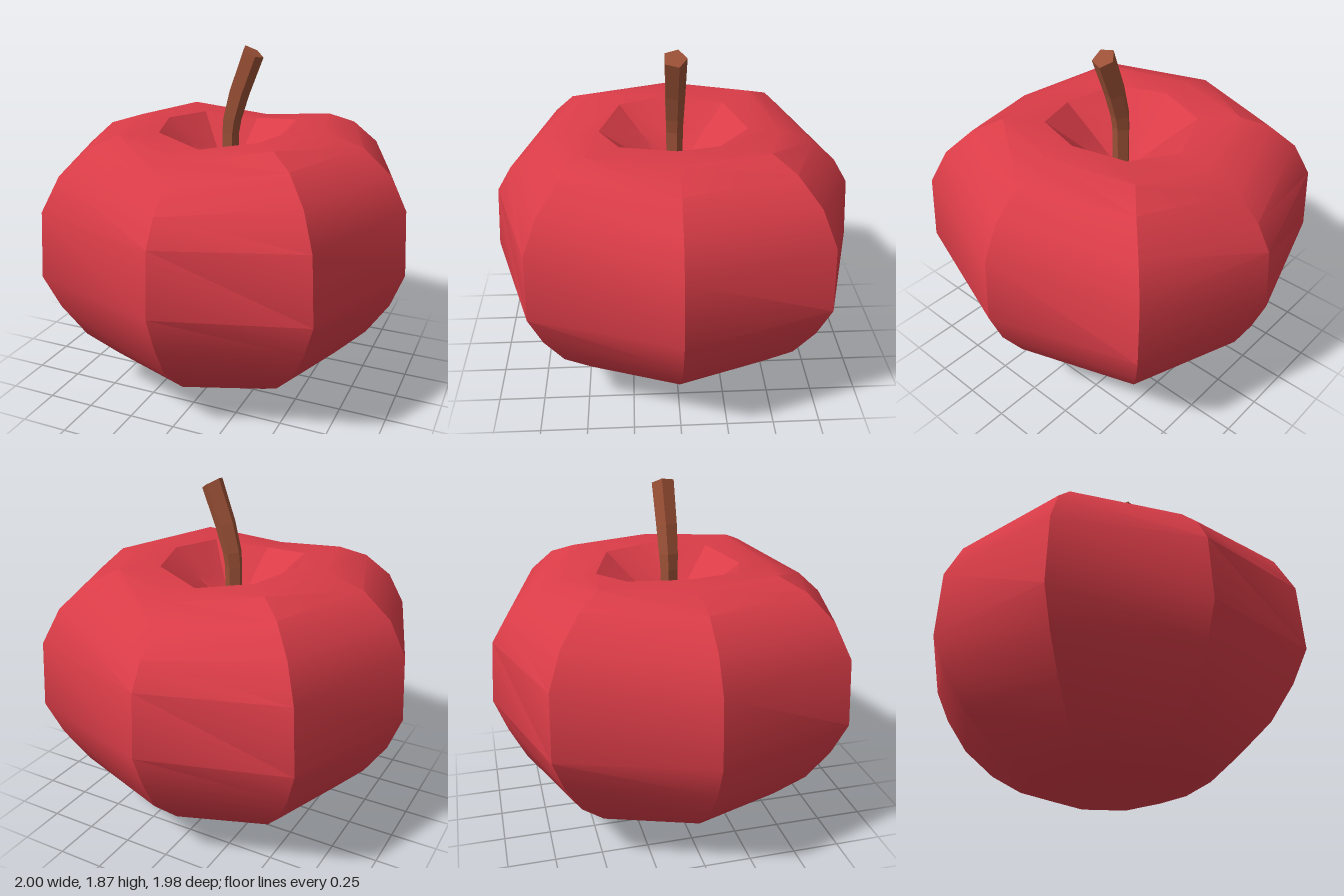
import * as THREE from 'three';
import { toCreasedNormals } from 'three/addons/utils/BufferGeometryUtils.js';

// Skins closed rings of points; a ring collapsed to one point closes an end.
function loft(rings) {
  const pos = [];
  const tri = (a, b, c) => {
    if (a.distanceTo(b) > 1e-6 && b.distanceTo(c) > 1e-6 && c.distanceTo(a) > 1e-6) {
      for (const p of [a, b, c]) pos.push(p.x, p.y, p.z);
    }
  };
  for (let i = 0; i < rings.length - 1; i++) {
    const n = rings[i].length;
    for (let j = 0; j < n; j++) {
      const k = (j + 1) % n;
      tri(rings[i][j], rings[i + 1][j], rings[i + 1][k]);
      tri(rings[i][j], rings[i + 1][k], rings[i][k]);
    }
  }
  const geo = new THREE.BufferGeometry();
  geo.setAttribute('position', new THREE.Float32BufferAttribute(pos, 3));
  geo.computeVertexNormals();
  return geo;
}

// Fruit: eight ribs; each row is [side r, side y, diagonal x, diagonal z, diagonal y, front r, front y]
function makeFruit() {
  const rows = [
    [0, 0.0, 0, 0, 0.0, 0, 0.0],
    [0.3, 0.03, 0.22, 0.23, 0.03, 0.32, 0.03],
    [0.47, 0.09, 0.35, 0.36, 0.09, 0.47, 0.09],
    [0.64, 0.19, 0.47, 0.48, 0.19, 0.63, 0.17],
    [0.81, 0.36, 0.59, 0.61, 0.35, 0.83, 0.36],
    [0.93, 0.54, 0.68, 0.7, 0.54, 0.92, 0.54],
    [1.0, 0.725, 0.74, 0.76, 0.725, 0.99, 0.725],
    [0.98, 1.08, 0.72, 0.75, 1.08, 0.965, 1.065],
    [0.89, 1.26, 0.65, 0.68, 1.26, 0.885, 1.2],
    [0.74, 1.39, 0.54, 0.57, 1.39, 0.76, 1.315],
    [0.54, 1.455, 0.42, 0.46, 1.45, 0.58, 1.385],
    [0.37, 1.45, 0.28, 0.29, 1.437, 0.4, 1.4],
    [0.23, 1.31, 0.17, 0.17, 1.305, 0.24, 1.29],
    [0.1, 1.19, 0.07, 0.07, 1.19, 0.1, 1.19],
    [0, 1.16, 0, 0, 1.16, 0, 1.16],
  ];
  const rings = rows.map(([sr, sy, dx, dz, dy, fr, fy]) => {
    const ring = [];
    for (let j = 0; j < 8; j++) {
      const sx = Math.sign(Math.round(Math.cos((j * Math.PI) / 4) * 10));
      const sz = Math.sign(Math.round(Math.sin((j * Math.PI) / 4) * 10));
      if (sx && sz) ring.push(new THREE.Vector3(sx * dx, dy, sz * dz));
      else if (sx) ring.push(new THREE.Vector3(sx * sr, sy, 0));
      else ring.push(new THREE.Vector3(0, fy, sz * fr));
    }
    return ring;
  });
  const mesh = new THREE.Mesh(
    toCreasedNormals(loft(rings), 0.45),
    new THREE.MeshStandardMaterial({ color: 0xd93c47 })
  );
  mesh.name = 'fruit';
  return mesh;
}

// Stem: five-sided, bending to the side; each row is [x, y, radius, tilt]
function makeStem() {
  const rows = [
    [0, 1.12, 0, 0],
    [0, 1.12, 0.047, 0],
    [0, 1.4, 0.049, 0.03],
    [0.01, 1.48, 0.053, 0.16],
    [0.05, 1.625, 0.058, 0.32],
    [0.13, 1.84, 0.062, 0.52],
    [0.13, 1.84, 0, 0.52],
  ];
  const rings = rows.map(([x, y, r, tilt]) =>
    Array.from({ length: 5 }, (_, j) => {
      const a = -Math.PI / 2 + (j * Math.PI * 2) / 5;
      const u = r * Math.cos(a);
      return new THREE.Vector3(x + u * Math.cos(tilt), y - u * Math.sin(tilt), r * Math.sin(a));
    })
  );
  const mesh = new THREE.Mesh(
    loft(rings),
    new THREE.MeshStandardMaterial({ color: 0x9a5036, flatShading: true })
  );
  mesh.name = 'stem';
  return mesh;
}

export function createModel() {
  const group = new THREE.Group();
  group.name = 'apple';
  group.add(makeFruit(), makeStem());
  return group;
}
